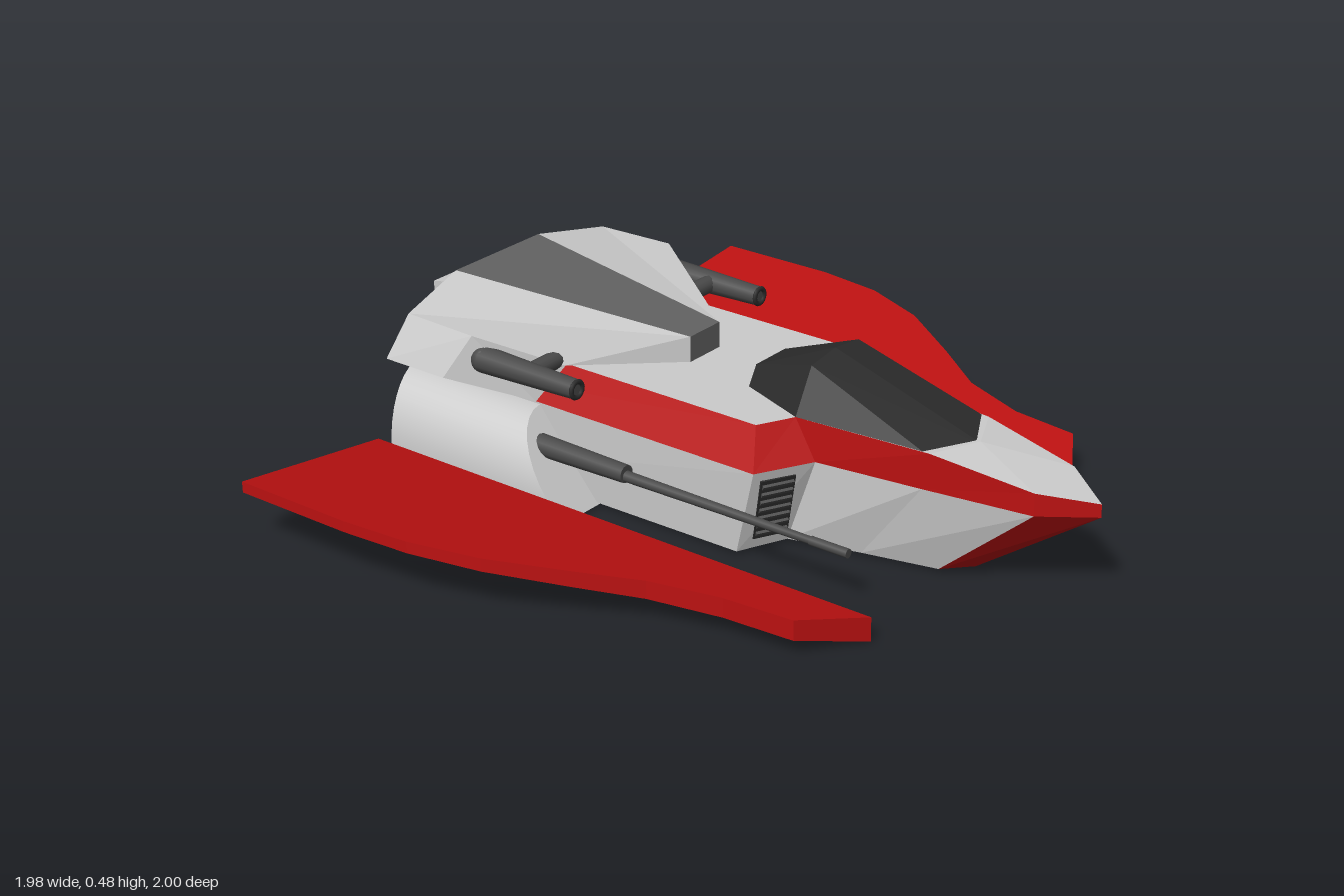
import * as THREE from 'three';
import { toCreasedNormals } from 'three/addons/utils/BufferGeometryUtils.js';

const GREY = 0xcccccc, RED = 0xbb1111, DARK = 0x626262, BLACK = 0x2b2b2b, STEEL = 0x4a4a4a, ORANGE = 0xe0602c;
const mat = (color) => new THREE.MeshStandardMaterial({ color, flatShading: false });

function add(parent, name, geo, color, x = 0, y = 0, z = 0) {
  const m = new THREE.Mesh(geo, mat(color));
  m.name = name;
  m.position.set(x, y, z);
  parent.add(m);
  return m;
}

// Flat convex panels for the left half, turned away from a centre point and mirrored to the right
function panels(polys, centre) {
  const pos = [], c = new THREE.Vector3(...centre);
  for (const poly of polys) {
    const p = poly.map((q) => new THREE.Vector3(...q));
    for (let i = 1; i < p.length - 1; i++) {
      let t = [p[0], p[i], p[i + 1]];
      const n = t[1].clone().sub(t[0]).cross(t[2].clone().sub(t[0]));
      const mid = t[0].clone().add(t[1]).add(t[2]).divideScalar(3);
      if (n.dot(mid.sub(c)) < 0) t = [t[0], t[2], t[1]];
      for (const v of t) pos.push(v.x, v.y, v.z);
      for (const k of [0, 2, 1]) pos.push(-t[k].x, t[k].y, t[k].z);
    }
  }
  const g = new THREE.BufferGeometry();
  g.setAttribute('position', new THREE.Float32BufferAttribute(pos, 3));
  g.computeVertexNormals();
  return g;
}

// Quads between two open lines of points
const strip = (a, b, from = 0, to = a.length - 1) => {
  const out = [];
  for (let i = from; i < to; i++) out.push([a[i], a[i + 1], b[i + 1], b[i]]);
  return out;
};

function buildHull(g) {
  const c = [0, 0.2, -0.2];
  const top = [[0, 0.28, 1], [0.09, 0.305, 0.87], [0.13, 0.345, 0.6], [0.165, 0.35, 0.23], [0.26, 0.35, 0.18], [0.26, 0.35, -0.89]];
  const mid = [[0, 0.245, 1], [0.09, 0.245, 0.87], [0.13, 0.245, 0.58], [0.165, 0.245, 0.29], [0.31, 0.245, 0.21], [0.31, 0.245, -0.89]];
  const low = [[0, 0.005, 0.66], [0.075, 0.01, 0.6], [0.12, 0.01, 0.4], [0.17, 0.01, 0.21], [0.3, 0.01, 0.15], [0.31, 0.01, -0.89]];
  const brow = [0, 0.345, 0.66], deck = [0, 0.35, 0.2];
  const rear = [top[5], mid[5], low[5], [0, 0.01, -0.89], [0, 0.35, -0.89]];
  add(g, 'hullDeck', panels([
    [brow, top[2], top[1], top[0]], [deck, brow, top[2]],
    [deck, top[2], top[3]], [deck, top[3], top[4]], [deck, top[4], top[5], [0, 0.35, -0.89]],
  ], c), GREY);
  add(g, 'sideStripe', panels(strip(top, mid), c), RED);
  add(g, 'noseWedge', panels(strip(mid, low, 0, 1), c), RED);
  add(g, 'hullSides', panels([...strip(mid, low, 1), rear], c), GREY);
  const keel = [0, 0.01, 0.15];
  add(g, 'hullBottom', panels([...strip(low, low.map(() => keel)).map((q) => q.slice(0, 3)), [keel, low[5], [0, 0.01, -0.89]]], c), DARK);
}

function buildCanopy(g) {
  const F = [0, 0.335, 0.68], B = [0.13, 0.345, 0.58], S = [0.165, 0.35, 0.23], A = [0.1, 0.465, 0.23];
  const M = [0, 0.478, 0.23], R = [0.06, 0.4, 0.03], Q = [0.09, 0.35, 0.03];
  add(g, 'canopy', panels([
    [F, B, A, M], [B, S, A], [M, A, R, [0, 0.4, 0.03]], [A, S, Q, R], [R, Q, [0, 0.35, 0.03], [0, 0.4, 0.03]],
  ], [0, 0.36, 0.25]), BLACK);
}

function buildHousing(g) {
  const c = [0, 0.32, -0.7];
  const tf = [0.06, 0.42, -0.18], ts = [0.4, 0.425, -0.62], tr = [0.39, 0.425, -0.85], tc = [0.165, 0.463, -0.89];
  const wf = [0.45, 0.31, -0.68], wr = [0.45, 0.31, -0.88], wc = [0.17, 0.31, -0.96];
  const bf = [0.31, 0.245, -0.49], br = [0.31, 0.245, -0.93], bc = [0.17, 0.245, -0.95];
  const df = [0.06, 0.35, -0.18], ds = [0.27, 0.35, -0.42];
  add(g, 'engineHousing', panels([
    [tf, ts, tr, tc], [tf, ts, ds, df], [ts, wf, bf, ds],
    [ts, tr, wr, wf], [wf, wr, br, bf],
    [tr, wr, wc, tc], [wr, br, bc, wc], [bf, br, bc, [0.17, 0.245, -0.49]],
    [tc, [0, 0.463, -0.89], [0, 0.245, -0.89], [0.165, 0.245, -0.89]],
  ], c), GREY);
  // Inner cheeks beside the exhausts face the centre line
  add(g, 'housingCheek', panels([[tc, wc, bc, [0.165, 0.245, -0.89]]], [1, 0.32, -0.9]), DARK);
  add(g, 'spineStripe', panels([
    [tf, tc, [0, 0.463, -0.89], [0, 0.42, -0.18]], [tf, df, [0, 0.35, -0.18], [0, 0.42, -0.18]],
  ], c), DARK);
}

// Rounded fairings low on the rear sides, with slanted ends
function buildFairings(g) {
  const section = [[0.17, 0.005], [0.45, 0.005], [0.45, 0.06]];
  for (let i = 1; i <= 8; i++) {
    const a = (i / 8) * Math.PI / 2;
    section.push([0.31 + 0.14 * Math.cos(a), 0.06 + 0.18 * Math.sin(a)]);
  }
  section.push([0.17, 0.24], [0.17, 0.005]);
  const front = section.map(([x, y]) => [x, y, -0.29 - 0.78 * y]);
  const back = section.map(([x, y]) => [x, y, -0.96 + (x - 0.17) * 0.28]);
  const geo = panels([...strip(front, back), front, back], [0.3, 0.12, -0.65]);
  add(g, 'sideFairing', toCreasedNormals(geo, 0.5), GREY);
}

function buildExhaust(g, name, y) {
  const ring = (w, h, z) => [[0, y + h, z], [w, y + h, z], [w, y - h, z], [0, y - h, z]];
  const a = ring(0.145, 0.085, -0.86), b = ring(0.14, 0.058, -0.998);
  add(g, name, panels([...strip(a, b), b], [0, y, -0.92]), GREY);
  add(g, name + 'Glow', new THREE.BoxGeometry(0.25, 0.09, 0.006), ORANGE, 0, y, -0.997);
}

function buildWing(g, s) {
  const outline = [[0.45, -0.93], [0.99, -0.86], [0.99, -0.51], [0.97, -0.32], [0.91, -0.14], [0.8, 0.04],
    [0.7, 0.19], [0.64, 0.37], [0.62, 0.56], [0.45, 0.66]];
  const shape = new THREE.Shape(outline.map(([x, z]) => new THREE.Vector2(s * x, -z)));
  const geo = new THREE.ExtrudeGeometry(shape, { depth: 1, bevelEnabled: false }).rotateX(-Math.PI / 2);
  // Raise the plate towards the tip and thin it
  const p = geo.attributes.position;
  for (let i = 0; i < p.count; i++) {
    const t = (Math.abs(p.getX(i)) - 0.45) / 0.54;
    p.setY(i, 0.145 * t + p.getY(i) * (0.065 - 0.035 * t));
  }
  geo.computeVertexNormals();
  add(g, s > 0 ? 'leftWing' : 'rightWing', geo, RED);
}

// Cylinder along z between two depths
function rod(g, name, x, y, z0, z1, rFront, rBack, color) {
  const geo = new THREE.CylinderGeometry(rFront, rBack, z0 - z1, 14).rotateX(Math.PI / 2);
  return add(g, name, geo, color, x, y, (z0 + z1) / 2);
}

function buildGuns(g, s) {
  // Long lower gun
  const x = s * 0.36;
  rod(g, 'longBarrel', x, 0.152, 0.53, -0.16, 0.009, 0.015, STEEL);
  rod(g, 'barrelMuzzle', x, 0.152, 0.53, 0.42, 0.012, 0.012, STEEL);
  rod(g, 'longGunBody', x, 0.158, -0.15, -0.45, 0.024, 0.03, STEEL);
  // Short upper gun on a cross arm
  const u = s * 0.378;
  rod(g, 'shortGun', u, 0.358, -0.29, -0.6, 0.026, 0.036, STEEL);
  add(g, 'shortGunEnd', new THREE.SphereGeometry(0.036, 14, 10), STEEL, u, 0.358, -0.6);
  const muzzle = add(g, 'shortGunMuzzle', new THREE.TorusGeometry(0.021, 0.007, 8, 16), BLACK, u, 0.358, -0.29);
  muzzle.scale.z = 0.8;
  add(g, 'gunArm', new THREE.CylinderGeometry(0.024, 0.024, 0.12, 12).rotateZ(Math.PI / 2), STEEL, s * 0.325, 0.36, -0.45);
}

// Slatted intake on the front of each shoulder
function buildIntake(g, s) {
  const v = new THREE.Group();
  v.name = 'intake';
  v.position.set(s * 0.236, 0.13, 0.217);
  v.rotation.set(0.26, s * 0.48, 0, 'YXZ');
  add(v, 'intakePanel', new THREE.BoxGeometry(0.095, 0.185, 0.008), BLACK);
  for (let i = 0; i < 7; i++) {
    const slat = add(v, 'intakeSlat', new THREE.BoxGeometry(0.085, 0.012, 0.012), STEEL, 0, -0.075 + i * 0.025, 0.003);
    slat.rotation.x = 0.4;
  }
  g.add(v);
}

export function createModel() {
  const g = new THREE.Group();
  g.name = 'spacecraft';
  buildHull(g);
  buildCanopy(g);
  buildHousing(g);
  buildFairings(g);
  buildExhaust(g, 'upperExhaust', 0.34);
  buildExhaust(g, 'lowerExhaust', 0.135);
  for (const s of [1, -1]) {
    buildWing(g, s);
    buildGuns(g, s);
    buildIntake(g, s);
  }
  return g;
}
